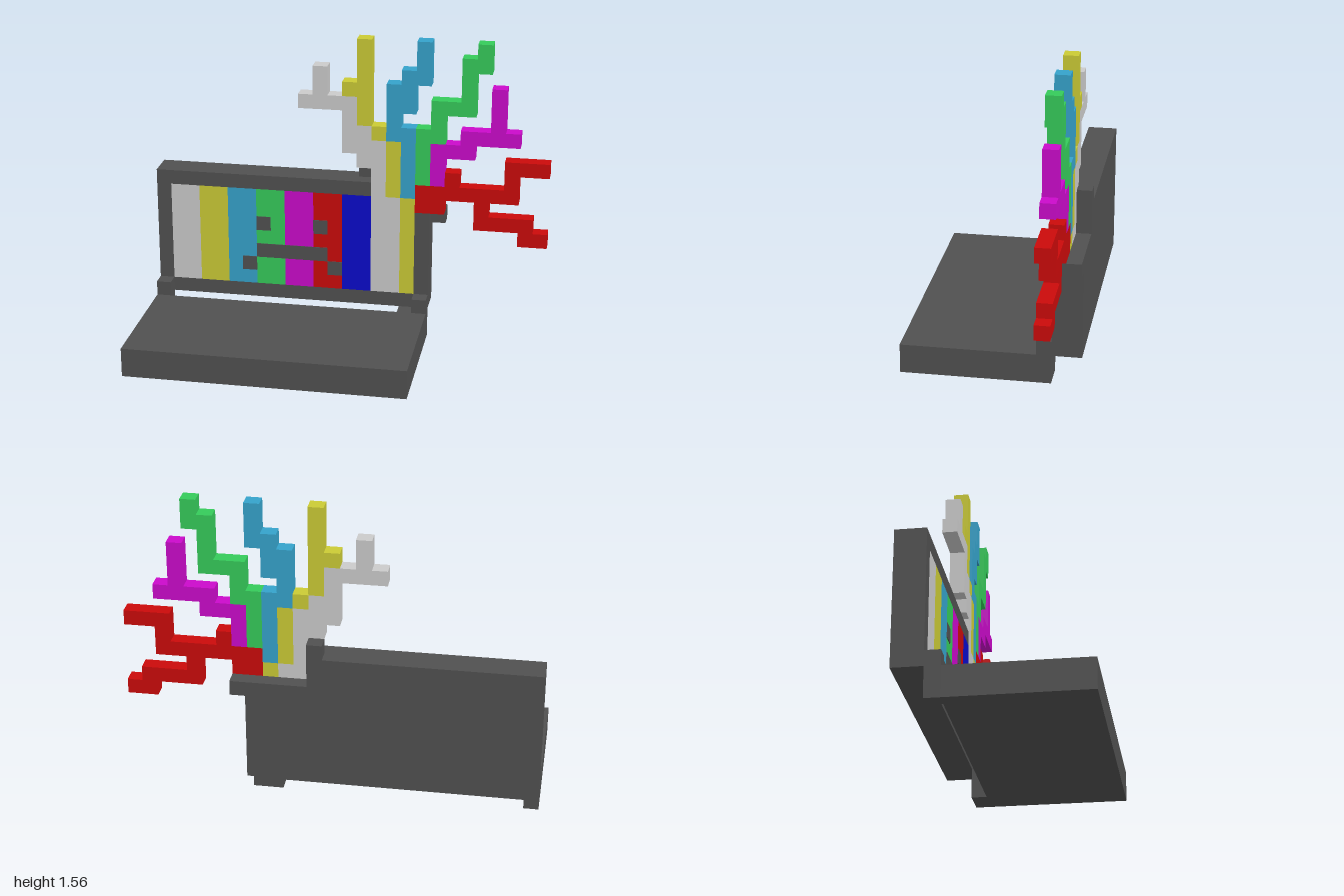
import * as THREE from 'three';

const U = 2 / 27; // one block of the grid

const paint = (name, color) => {
  const m = new THREE.MeshStandardMaterial({ color });
  m.name = name;
  return m;
};

export function createModel() {
  const model = new THREE.Group();
  model.name = 'laptopWithBranchingScreen';

  const grey = paint('darkGrey', 0x505050);
  const white = paint('paleGrey', 0xcacaca);
  const yellow = paint('yellow', 0xcaca35);
  const sky = paint('skyBlue', 0x35a2ca);
  const green = paint('green', 0x35ca5a);
  const magenta = paint('magenta', 0xca0aca);
  const red = paint('red', 0xca0a0a);
  const blue = paint('deepBlue', 0x0a0aca);

  // Box between grid columns x0..x1, rows y0..y1 and depths z0..z1
  function block(parent, name, mat, [x0, y0, x1, y1], z0 = -5, z1 = -4) {
    const geo = new THREE.BoxGeometry((x1 - x0) * U, (y1 - y0) * U, (z1 - z0) * U);
    const mesh = new THREE.Mesh(geo, mat);
    mesh.position.set(((x0 + x1) / 2) * U - 1, ((y0 + y1) / 2) * U, ((z0 + z1) / 2) * U);
    mesh.name = name;
    parent.add(mesh);
  }

  function part(name, mat, rects, z0, z1) {
    const group = new THREE.Group();
    group.name = name;
    rects.forEach((r, i) => block(group, `${name}${i + 1}`, mat, r, z0, z1));
    model.add(group);
  }

  // Keyboard base and hinges
  block(model, 'base', grey, [0, 0, 19, 2], -3, 6);
  part('hinge', grey, [[0, 0, 1, 3], [17, 0, 19, 2], [18, 2, 19, 3]], -4, -3);

  // Lid: back shell with a broken corner, and the frame round the screen
  part('lidBack', grey, [[0, 2, 15, 11], [15, 2, 19, 9], [14, 11, 15, 12], [19, 8, 20, 9]], -6, -5);
  part('screenFrame', grey, [[0, 2, 19, 3], [0, 3, 1, 11], [1, 10, 15, 11], [18, 3, 19, 9]]);

  // Colour bars on the screen
  const bars = new THREE.Group();
  bars.name = 'colourBars';
  [white, yellow, sky, green, magenta, red, blue, white, yellow].forEach((mat, i) => {
    const x = 1 + i * 2;
    block(bars, `bar${i + 1}`, mat, [x, 3, Math.min(x + 2, 18), 10]);
  });
  model.add(bars);

  // Sad face, as thin plates on the screen
  part('eye', grey, [[7, 7, 8, 8], [11, 7, 12, 8]], -4, -3.95);
  part('mouth', grey, [[7, 5, 12, 6], [6, 4, 7, 5], [12, 4, 13, 5]], -4, -3.95);

  // Branches growing out of the broken corner
  part('paleBranch', white, [
    [15, 10, 16, 14], [14, 12, 15, 15], [13, 13, 14, 17], [10, 16, 13, 17], [11, 17, 12, 19],
  ]);
  part('yellowBranch', yellow, [
    [16, 10, 17, 14], [15, 14, 16, 15], [14, 15, 15, 21], [13, 17, 14, 18],
  ]);
  part('skyBranch', sky, [
    [17, 10, 18, 15], [16, 14, 17, 18], [17, 16, 18, 19], [18, 18, 19, 21],
  ]);
  part('greenBranch', green, [
    [18, 11, 19, 15], [19, 14, 20, 17], [20, 16, 21, 17], [21, 16, 22, 20], [22, 19, 23, 21],
  ]);
  part('magentaBranch', magenta, [
    [19, 11, 20, 14], [20, 13, 22, 14], [21, 14, 25, 15], [23, 15, 24, 18],
  ]);
  part('redBranch', red, [
    [18, 9, 20, 11], [20, 10, 25, 11], [20, 11, 21, 12], [24, 11, 25, 13], [25, 12, 27, 13],
    [22, 8, 23, 10], [23, 8, 26, 9], [25, 7, 27, 8],
  ]);

  return model;
}
